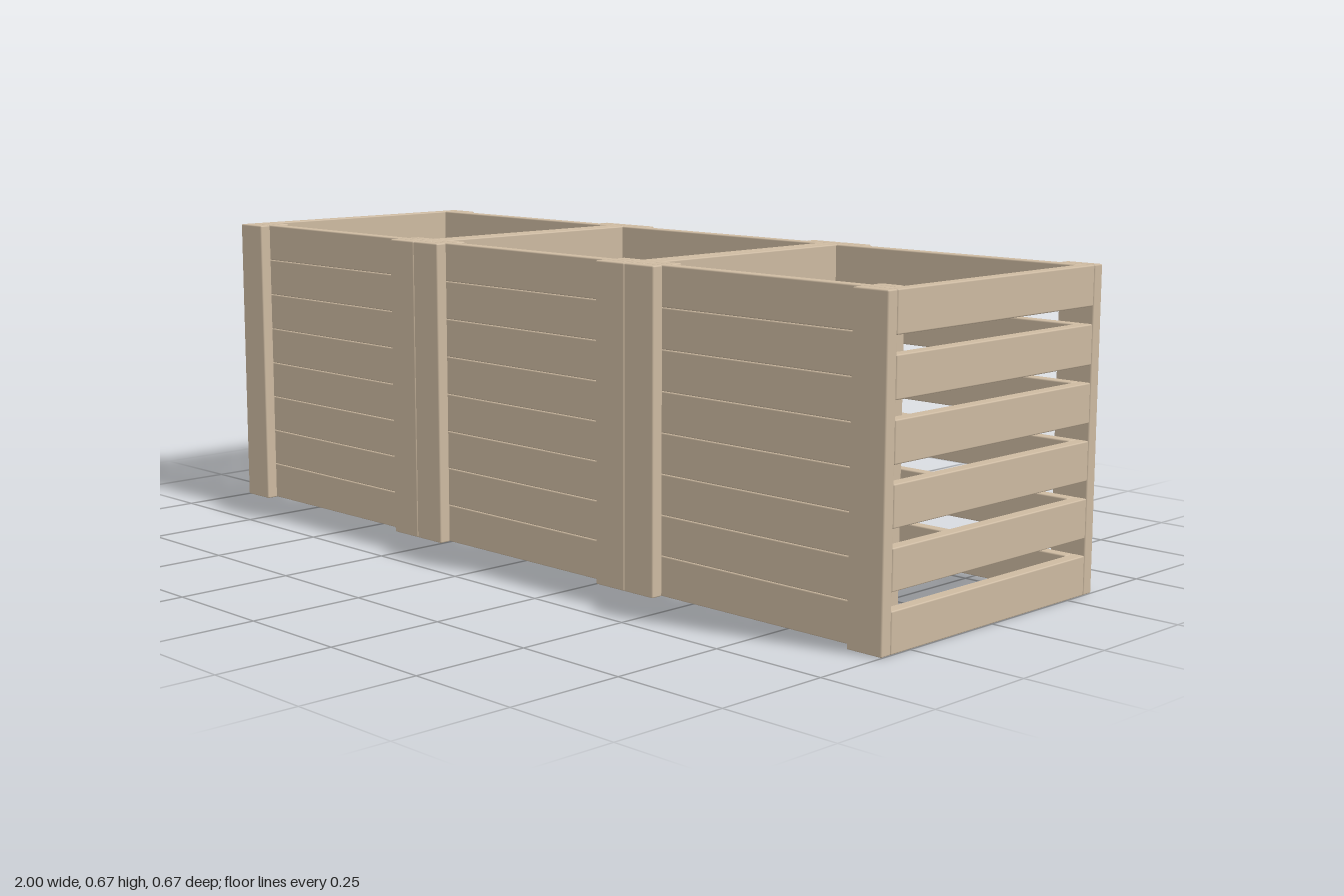
import * as THREE from 'three';
import { RoundedBoxGeometry } from 'three/addons/geometries/RoundedBoxGeometry.js';

const SIZE = 2 / 3;        // each crate is a cube of this side
const H = SIZE / 2;
const T = 0.027;           // plank thickness
const W = 0.082;           // plank width
const wood = new THREE.MeshStandardMaterial({ color: 0xcdbaa1 });

// Plank given by its minimum and maximum corners, with slightly softened edges
function plank(parent, name, min, max) {
  const size = max.map((v, i) => v - min[i]);
  const mesh = new THREE.Mesh(new RoundedBoxGeometry(...size, 1, 0.003), wood);
  mesh.position.set(...max.map((v, i) => (v + min[i]) / 2));
  mesh.name = name;
  parent.add(mesh);
}

function crate() {
  const g = new THREE.Group();
  g.name = 'crate';
  const inX = H - T, inZ = H - T;

  // Closed front wall: eight boards edge to edge
  const pitch = SIZE / 8;
  for (let i = 0; i < 8; i++) {
    plank(g, 'frontBoard', [-inX, i * pitch, inZ - T], [inX, (i + 1) * pitch, inZ]);
  }

  // Spaced slats on the back and both sides
  for (let i = 0; i < 6; i++) {
    const y = i * (SIZE - W) / 5;
    plank(g, 'backSlat', [-inX, y, -inZ], [inX, y + W, -inZ + T]);
    plank(g, 'leftSlat', [inX, y, -inZ], [H, y + W, inZ]);
    plank(g, 'rightSlat', [-H, y, -inZ], [-inX, y + W, inZ]);
  }

  // Corner posts outside, and battens behind the front boards
  for (const s of [-1, 1]) {
    const span = (a, b) => [Math.min(s * a, s * b), Math.max(s * a, s * b)];
    const [x0, x1] = span(H - W, H);
    plank(g, 'frontPost', [x0, 0, inZ], [x1, SIZE, H]);
    plank(g, 'backPost', [x0, 0, -H], [x1, SIZE, -inZ]);
    const [b0, b1] = span(H - W, inX);
    plank(g, 'innerBatten', [b0, 0, inZ - 2 * T], [b1, SIZE, inZ - T]);
  }
  return g;
}

export function createModel() {
  const model = new THREE.Group();
  model.name = 'crateRow';
  // Three crates side by side
  for (const i of [-1, 0, 1]) {
    const c = crate();
    c.position.x = i * SIZE;
    model.add(c);
  }
  return model;
}
